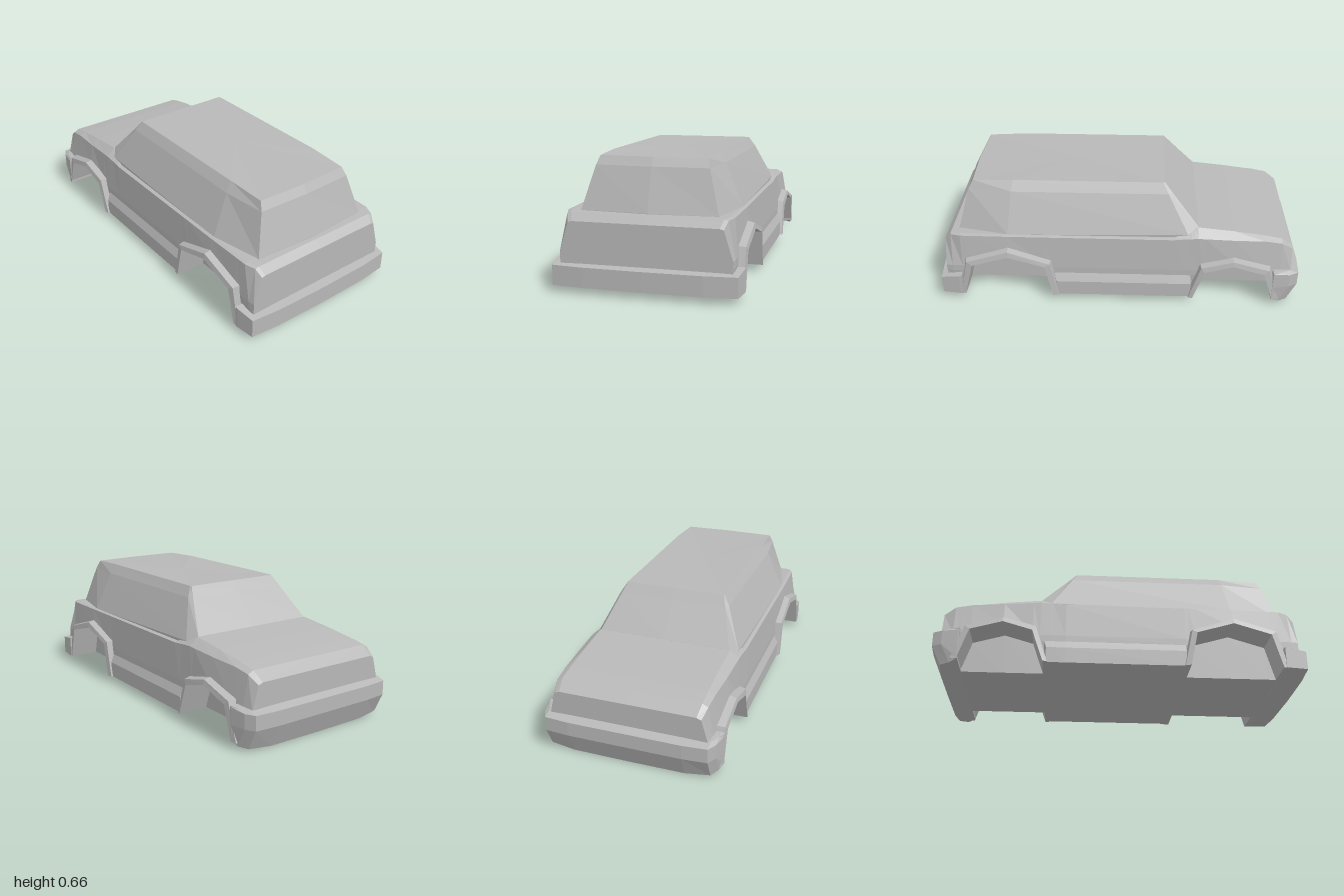
import * as THREE from 'three';

// Closed, faceted loft through rings of [x, y, z] points, with fan caps
function loft(rings) {
  const pos = [], n = rings[0].length;
  const tri = (a, b, c) => pos.push(...a, ...b, ...c);
  for (let i = 0; i < rings.length - 1; i++) {
    const a = rings[i], b = rings[i + 1];
    for (let j = 0; j < n; j++) {
      const k = (j + 1) % n;
      tri(a[j], b[j], b[k]);
      tri(a[j], b[k], a[k]);
    }
  }
  const cap = (r, flip) => {
    const mid = [0, 1, 2].map(d => r.reduce((s, p) => s + p[d], 0) / n);
    r.forEach((p, j) => {
      const q = r[(j + 1) % n];
      flip ? tri(mid, q, p) : tri(mid, p, q);
    });
  };
  cap(rings[0], false);
  cap(rings[rings.length - 1], true);

  // Turn the faces outward when the enclosed volume is negative
  let volume = 0;
  const v = i => new THREE.Vector3(pos[i], pos[i + 1], pos[i + 2]);
  for (let i = 0; i < pos.length; i += 9) volume += v(i).dot(v(i + 3).cross(v(i + 6)));
  if (volume < 0) {
    for (let i = 0; i < pos.length; i += 9) {
      for (let d = 0; d < 3; d++) [pos[i + 3 + d], pos[i + 6 + d]] = [pos[i + 6 + d], pos[i + 3 + d]];
    }
  }
  const g = new THREE.BufferGeometry();
  g.setAttribute('position', new THREE.Float32BufferAttribute(pos, 3));
  g.computeVertexNormals();
  return g;
}

// Complete a half ring by mirroring it across x = 0
const mirrorRing = half => [...half, ...half.slice().reverse().map(([x, y, z]) => [-x, y, z])];

// Linear lookup in rows of [key, ...values]
function lookup(rows, key) {
  if (key <= rows[0][0]) return rows[0].slice(1);
  for (let i = 1; i < rows.length; i++) {
    if (key <= rows[i][0]) {
      const a = rows[i - 1], b = rows[i], t = (key - a[0]) / (b[0] - a[0]);
      return a.slice(1).map((p, d) => p + (b[d + 1] - p) * t);
    }
  }
  return rows[rows.length - 1].slice(1);
}

const FLOOR = 0.035, WELL_X = 0.3;

// Wheel openings and flare outlines as [z, y]
const arches = [
  { name: 'bonnetEnd',
    inner: [[-0.855, FLOOR], [-0.8, 0.205], [-0.63, 0.255], [-0.475, 0.21], [-0.415, FLOOR]],
    outer: [[-0.9, FLOOR], [-0.835, 0.235], [-0.63, 0.29], [-0.45, 0.245], [-0.385, FLOOR]] },
  { name: 'tailEnd',
    inner: [[0.36, FLOOR], [0.4, 0.225], [0.6, 0.285], [0.8, 0.225], [0.85, FLOOR]],
    outer: [[0.32, FLOOR], [0.365, 0.245], [0.6, 0.325], [0.84, 0.25], [0.885, FLOOR]] },
];

// Body stations: z, shoulder x, shoulder y, deck x, deck y, waist x
const stations = [
  [-0.95, 0.385, 0.325, 0.36, 0.335, 0.42],
  [-0.89, 0.4, 0.365, 0.37, 0.38, 0.43],
  [-0.8, 0.405, 0.38, 0.37, 0.397, 0.435],
  [-0.63, 0.415, 0.388, 0.37, 0.42, 0.435],
  [-0.435, 0.422, 0.4, 0.37, 0.44, 0.435],
  [-0.37, 0.422, 0.395, 0.39, 0.415, 0.435],
  [-0.3, 0.425, 0.39, 0.41, 0.395, 0.435],
  [0.6, 0.425, 0.39, 0.41, 0.395, 0.435],
  [0.86, 0.42, 0.388, 0.4, 0.393, 0.435],
  [0.915, 0.4, 0.383, 0.38, 0.388, 0.435],
  [0.95, 0.385, 0.345, 0.365, 0.35, 0.43],
];
const sill = [[-0.41, 0.43], [-0.4, 0.457], [0.34, 0.457], [0.35, 0.43]];

function bodyGeometry() {
  const openings = arches.flatMap(a => a.inner);
  const zs = [...new Set([...stations, ...openings, ...sill].map(r => r[0]))].sort((a, b) => a - b);
  return loft(zs.map(z => {
    const [sx, sy, dx, dy, wx] = lookup(stations, z);
    const h = lookup(openings, z)[0];
    const s = Math.min(lookup(sill, z)[0], wx + 0.022);
    return mirrorRing([
      [0, FLOOR], [WELL_X, FLOOR], [WELL_X, h],
      [s, h], [s, Math.max(0.12, h)], [wx, Math.max(0.165, h)], [wx, Math.max(0.2, h)],
      [sx, sy], [dx, dy], [0, dy],
    ].map(([x, y]) => [x, y, z]));
  }));
}

// Cabin: belt line, upper window line and roof rings
function cabinGeometry() {
  return loft([
    [[0, 0.36, -0.44], [0.36, 0.36, -0.44], [0.4, 0.36, -0.38], [0.41, 0.36, 0.6], [0.345, 0.36, 0.88], [0, 0.36, 0.895]],
    [[0, 0.44, -0.437], [0.365, 0.44, -0.437], [0.402, 0.41, -0.38], [0.408, 0.393, 0.6], [0.345, 0.393, 0.875], [0, 0.393, 0.892]],
    [[0, 0.61, -0.293], [0.298, 0.61, -0.293], [0.313, 0.61, -0.27], [0.315, 0.61, 0.58], [0.287, 0.61, 0.815], [0, 0.61, 0.825]],
    [[0, 0.663, -0.25], [0.277, 0.663, -0.25], [0.28, 0.663, -0.24], [0.28, 0.663, 0.57], [0.272, 0.655, 0.79], [0, 0.655, 0.8]],
  ].map(mirrorRing));
}

// Bumper swept across x from half stations, with profile(row) giving [z, y]
function bumperGeometry(rows, profile) {
  const full = [...rows.slice(1).reverse().map(r => [-r[0], ...r.slice(1)]), ...rows];
  return loft(full.map(r => profile(r).map(([z, y]) => [r[0], y, z])));
}

// Wheel arch flare for one side
function flareGeometry({ inner, outer }, side) {
  return loft(inner.map(([zi, yi], i) => {
    const [zo, yo] = outer[i];
    const mix = t => [yi + (yo - yi) * t, zi + (zo - zi) * t];
    return [
      [side * 0.4, ...mix(0)], [side * 0.473, ...mix(0)],
      [side * 0.467, ...mix(0.75)], [side * 0.425, ...mix(1)],
    ];
  }));
}

export function createModel() {
  const group = new THREE.Group();
  group.name = 'vehicleShell';
  const grey = new THREE.MeshStandardMaterial({ color: 0xb8b8b8 });
  grey.name = 'bodyGrey';
  const add = (name, geometry) => {
    const mesh = new THREE.Mesh(geometry, grey);
    mesh.name = name;
    group.add(mesh);
  };

  add('lowerBody', bodyGeometry());
  add('cabin', cabinGeometry());

  for (const arch of arches) {
    add(arch.name + 'LeftFlare', flareGeometry(arch, 1));
    add(arch.name + 'RightFlare', flareGeometry(arch, -1));
  }

  // Bonnet-end bumper with a dropped chin: x, face z, chin y
  add('bonnetEndBumper', bumperGeometry(
    [[0, -1, 0], [0.3, -1, 0.002], [0.43, -0.99, 0.014], [0.457, -0.94, 0.018], [0.473, -0.855, 0.04]],
    ([, f, chin]) => [
      [-0.85, 0.036], [Math.min(f + 0.05, -0.852), chin], [f, 0.12],
      [f, 0.197], [Math.min(f + 0.05, -0.852), 0.21], [-0.85, 0.215],
    ]));

  // Tail-end bumper: x, face z, top y
  add('tailEndBumper', bumperGeometry(
    [[0, 1, 0.135], [0.3, 0.995, 0.135], [0.46, 0.98, 0.135], [0.473, 0.88, 0.15]],
    ([, f, top]) => [[0.865, 0.034], [f, 0.034], [f, top], [0.865, 0.155]]));

  return group;
}
